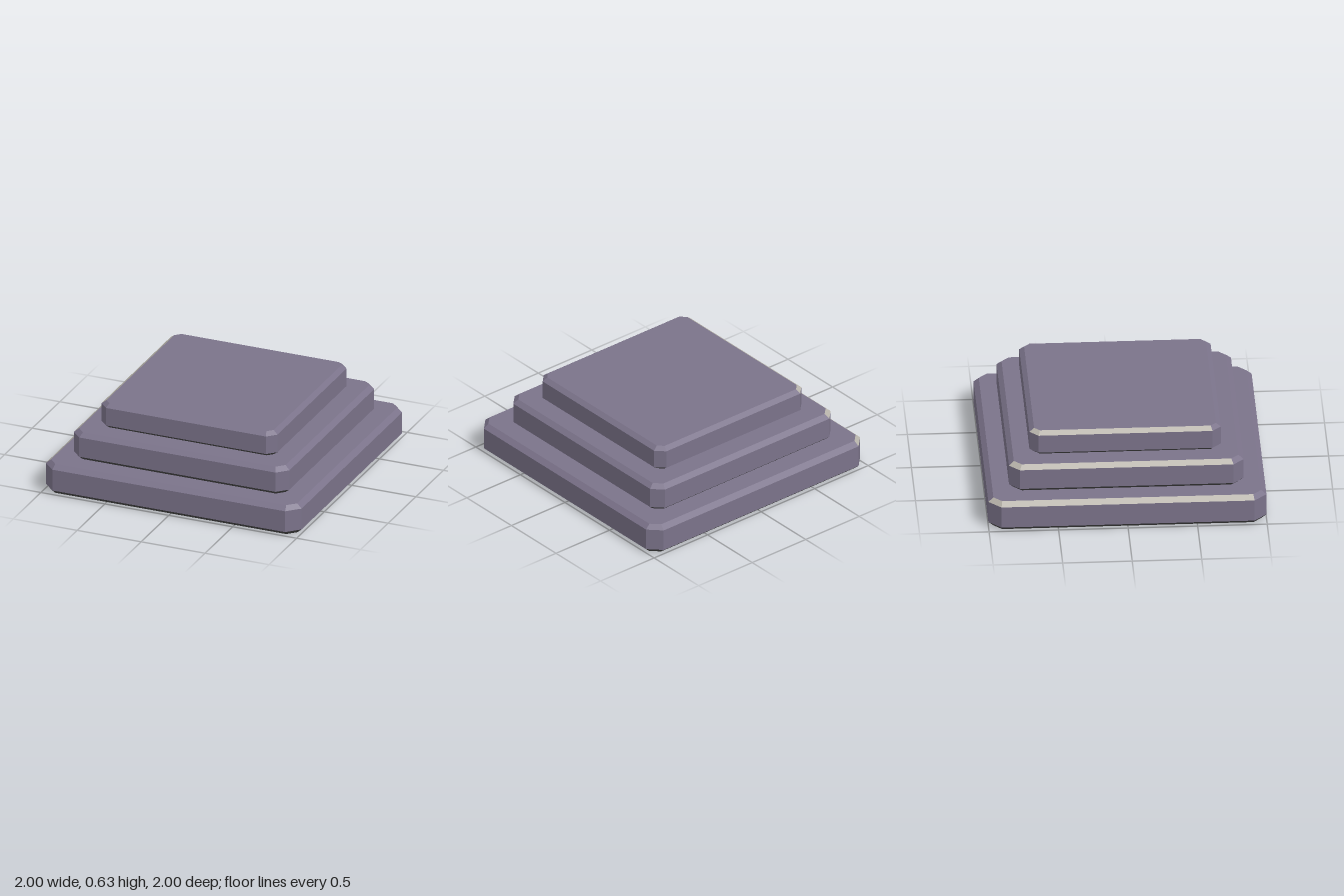
import * as THREE from 'three';

const stone = new THREE.MeshStandardMaterial({ name: 'purple stone', color: 0x7b738a });
const worn = new THREE.MeshStandardMaterial({ name: 'pale worn edge', color: 0xb8b4ab });
const shade = new THREE.MeshStandardMaterial({ name: 'dark underside', color: 0x484848 });

// Square ring with cut corners: eight points, going from +x towards +z
function ring(half, cut, y) {
  const points = [];
  let x = half, z = half - cut;
  for (let k = 0; k < 4; k++) {
    // k-th quarter turn of the +x edge
    const turn = ([a, b]) => { for (let i = 0; i < k; i++) [a, b] = [-b, a]; return [a, y, b]; };
    points.push(turn([x, -z]), turn([x, z]));
  }
  return points;
}

// One slab with bevelled rims; every face is flat
function slab(name, { half, cut, inset, topCut, y0, y1, bevel }) {
  const rings = [
    ring(half - inset, topCut, y0),
    ring(half, cut, y0 + bevel),
    ring(half, cut, y1 - bevel),
    ring(half - inset, topCut, y1),
  ];
  const faces = [[], [], []]; // stone, worn, shade
  for (let i = 0; i < 8; i++) {
    const j = (i + 1) % 8;
    for (let r = 0; r < 3; r++) {
      const [a, b, c, d] = [rings[r][i], rings[r][j], rings[r + 1][i], rings[r + 1][j]];
      // lower bevel is dark; upper bevel is pale on the -x side and back corner
      const slot = r === 0 ? 2 : r === 2 && (i === 4 || i === 5) ? 1 : 0;
      faces[slot].push(a, c, b, c, d, b);
    }
    faces[0].push([0, y1, 0], rings[3][j], rings[3][i]);
    faces[2].push([0, y0, 0], rings[0][i], rings[0][j]);
  }
  const geometry = new THREE.BufferGeometry();
  geometry.setAttribute('position', new THREE.Float32BufferAttribute(faces.flat(2), 3));
  let start = 0;
  faces.forEach((f, slot) => {
    geometry.addGroup(start, f.length, slot);
    start += f.length;
  });
  geometry.computeVertexNormals();
  const mesh = new THREE.Mesh(geometry, [stone, worn, shade]);
  mesh.name = name;
  return mesh;
}

export function createModel() {
  const group = new THREE.Group();
  group.name = 'steppedPlinth';
  group.add(
    slab('bottomStep', { half: 1, cut: 0.09, inset: 0.037, topCut: 0.06, y0: 0, y1: 0.228, bevel: 0.032 }),
    slab('middleStep', { half: 0.843, cut: 0.075, inset: 0.035, topCut: 0.055, y0: 0.228, y1: 0.44, bevel: 0.03 }),
    slab('topStep', { half: 0.688, cut: 0.063, inset: 0.034, topCut: 0.04, y0: 0.44, y1: 0.63, bevel: 0.026 }),
  );
  return group;
}
